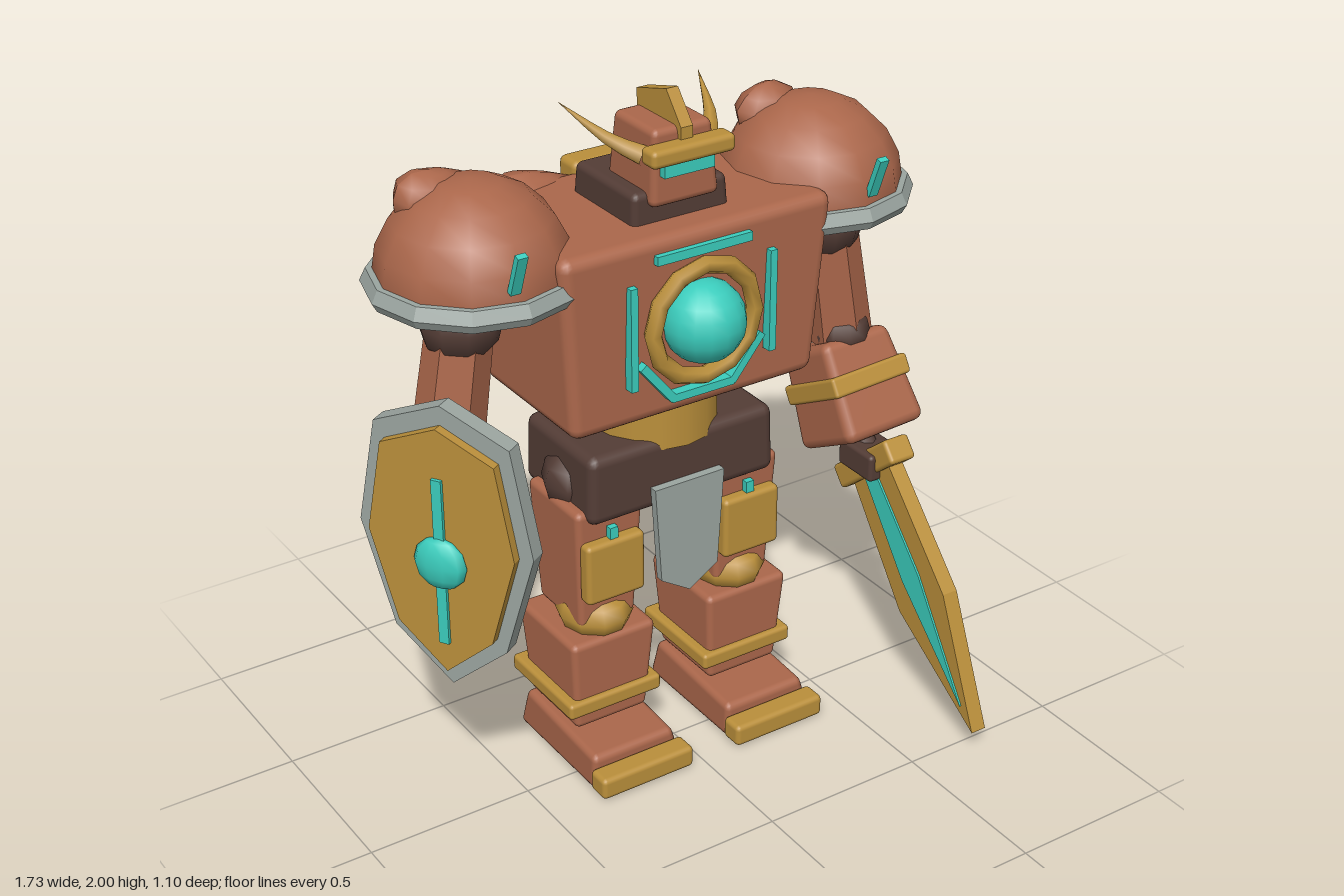
import * as THREE from 'three';
import { RoundedBoxGeometry } from 'three/addons/geometries/RoundedBoxGeometry.js';

const paint = (name, color, extra = {}) => {
  const m = new THREE.MeshStandardMaterial({ color, ...extra });
  m.name = name;
  return m;
};

export function createModel() {
  const clay = paint('clay armour', 0xab674b);
  const gold = paint('gold trim', 0xba8f3b);
  const dark = paint('dark joints', 0x543d36);
  const steel = paint('steel grey', 0x9ba5a0);
  const cyan = paint('cyan glow', 0x3bcdbd);

  const root = new THREE.Group();
  root.name = 'armouredRobot';
  const body = new THREE.Group();
  body.name = 'body';
  body.position.x = 0.035;
  root.add(body);

  const add = (name, geo, mat, x, y, z, parent = body) => {
    const m = new THREE.Mesh(geo, mat);
    m.name = name;
    m.position.set(x, y, z);
    parent.add(m);
    return m;
  };
  const group = (name, x, y, z) => {
    const g = new THREE.Group();
    g.name = name;
    g.position.set(x, y, z);
    body.add(g);
    return g;
  };
  // Rounded box whose top and bottom are scaled separately
  const block = (w, h, d, top = 1, bottom = 1, r = 0.02) => {
    const g = new RoundedBoxGeometry(w, h, d, 2, Math.min(r, h * 0.3, d * 0.3, w * 0.3));
    const p = g.attributes.position;
    for (let i = 0; i < p.count; i++) {
      const k = THREE.MathUtils.lerp(bottom, top, p.getY(i) / h + 0.5);
      p.setX(i, p.getX(i) * k);
      p.setZ(i, p.getZ(i) * k);
    }
    return g;
  };
  const box = (w, h, d) => new THREE.BoxGeometry(w, h, d);
  const ball = (rx, ry, rz, seg = 10, rows = 6) => new THREE.SphereGeometry(1, seg, rows).scale(rx, ry, rz);
  // Uneven lump: a sphere with waves in its radius
  const lump = (rx, ry, rz, phase) => {
    const g = new THREE.SphereGeometry(1, 10, 7);
    const p = g.attributes.position, v = new THREE.Vector3();
    for (let i = 0; i < p.count; i++) {
      v.fromBufferAttribute(p, i);
      v.multiplyScalar(1 + 0.1 * Math.sin(v.x * 4 + phase) * Math.cos(v.y * 3 + v.z * 2 + phase));
      p.setXYZ(i, v.x, v.y, v.z);
    }
    g.scale(rx, ry, rz).computeVertexNormals();
    return g;
  };
  // Flat plate from an outline, centred on its thickness
  const plate = (pts, t) => new THREE.ExtrudeGeometry(
    new THREE.Shape(pts.map(p => new THREE.Vector2(...p))), { depth: t, bevelEnabled: false }).translate(0, 0, -t / 2);

  // Torso, waist and pelvis
  add('torso', block(0.86, 0.54, 0.52, 1, 0.91, 0.035), clay, 0, 1.39, -0.175);
  add('waist', new THREE.CylinderGeometry(0.193, 0.193, 0.16, 16), gold, 0, 1.06, -0.175);
  add('pelvis', block(0.62, 0.21, 0.36, 0.98, 1, 0.03), dark, 0, 0.905, -0.175);
  add('loincloth', plate([[-0.115, 0.18], [-0.095, -0.12], [0, -0.18], [0.095, -0.12], [0.115, 0.18]], 0.025), steel, 0, 0.695, 0.018);

  // Chest core and glowing lines
  add('coreRing', new THREE.TorusGeometry(0.163, 0.026, 6, 12), gold, 0, 1.395, 0.095);
  add('core', ball(0.118, 0.118, 0.118, 16, 10), cyan, 0, 1.395, 0.09);
  add('chestLineTop', box(0.3, 0.026, 0.03), cyan, 0, 1.604, 0.085);
  for (const s of [-1, 1]) {
    add('chestLineSide', box(0.022, 0.3, 0.03), cyan, s * 0.222, 1.395, 0.085);
    add('chestLineSlant', box(0.024, 0.155, 0.03), cyan, s * 0.143, 1.245, 0.08).rotation.z = -s * 0.68;
  }
  add('chestLineBottom', box(0.2, 0.024, 0.03), cyan, 0, 1.187, 0.08);

  // Back column and lumps
  add('backColumn', block(0.185, 0.51, 0.09), gold, 0, 1.435, -0.448);
  add('backLight', box(0.03, 0.03, 0.03), cyan, 0.105, 1.62, -0.445);
  add('backLight', box(0.03, 0.03, 0.03), cyan, -0.105, 1.22, -0.445);
  add('backLumpUpper', lump(0.165, 0.13, 0.115, 0.5), clay, -0.215, 1.56, -0.435);
  add('backLumpLower', lump(0.13, 0.13, 0.11, 2), clay, 0.215, 1.34, -0.425);

  // Head
  add('collar', block(0.31, 0.13, 0.31, 0.95, 1), dark, 0, 1.68, -0.165);
  add('head', block(0.215, 0.21, 0.23, 0.85, 1), clay, 0, 1.81, -0.105);
  add('eyeVisor', box(0.157, 0.04, 0.04), cyan, 0, 1.812, 0.005);
  add('brow', block(0.26, 0.05, 0.065), gold, 0, 1.857, 0.018);
  const crest = add('crest', plate([[0.01, 1.86], [-0.2, 1.89], [-0.2, 1.96], [-0.06, 2.0], [0.01, 1.915]], 0.037), gold, 0, 0, 0);
  crest.rotation.y = -Math.PI / 2;
  for (const s of [-1, 1]) {
    // Tapered horn
    const path = new THREE.CatmullRomCurve3([[0.1, 1.84, -0.04], [0.155, 1.87, -0.11], [0.22, 1.94, -0.265]]
      .map(([x, y, z]) => new THREE.Vector3(s * x, y, z)));
    const horn = new THREE.TubeGeometry(path, 5, 0.03, 6);
    const p = horn.attributes.position, v = new THREE.Vector3();
    for (let i = 0; i < p.count; i++) {
      const u = Math.floor(i / 7) / 5;
      v.fromBufferAttribute(p, i).lerp(path.getPointAt(u), u * 0.98);
      p.setXYZ(i, v.x, v.y, v.z);
    }
    add('horn', horn, gold, 0, 0, 0);
  }

  for (const s of [-1, 1]) {
    // Shoulder guard
    const guard = group(s > 0 ? 'leftShoulder' : 'rightShoulder', s * 0.538, 1.575, -0.178);
    add('dome', new THREE.SphereGeometry(1, 12, 5, 0, Math.PI * 2, 0, Math.PI / 2).scale(0.265, 0.258, 0.265), clay, 0, 0, 0, guard);
    add('domeUnderside', new THREE.CircleGeometry(0.27, 12).rotateX(Math.PI / 2), clay, 0, -0.02, 0, guard);
    const rim = [[0.24, -0.045], [0.283, -0.045], [0.297, -0.02], [0.28, 0.015], [0.24, 0.015], [0.24, -0.045]];
    const rimGeo = new THREE.LatheGeometry(rim.map(q => new THREE.Vector2(...q)), 12).toNonIndexed();
    rimGeo.computeVertexNormals();
    add('rim', rimGeo, steel, 0, 0, 0, guard);
    add('shoulderLight', box(0.03, 0.125, 0.018), cyan, s * 0.025, 0.1, 0.275, guard).rotation.x = 0.36;

    // Arm
    add('shoulderJoint', ball(0.115, 0.115, 0.115), dark, s * 0.59, 1.45, -0.17);
    const upper = add('upperArm', new THREE.CylinderGeometry(0.09, 0.1, 0.38, 6).toNonIndexed(), clay, s * 0.622, 1.26, -0.165);
    upper.geometry.computeVertexNormals();
    upper.rotation.z = s * 0.16;
    add('elbow', ball(0.085, 0.085, 0.085), dark, s * 0.645, 1.09, -0.14);
    const fore = group(s > 0 ? 'leftForearm' : 'rightForearm', s * 0.655, 0.92, -0.105);
    fore.rotation.set(-0.5, 0, s * 0.04);
    add('forearm', block(0.27, 0.3, 0.26, 0.88, 1.06, 0.03), clay, 0, 0, 0, fore);
    add('wristBand', block(0.275, 0.06, 0.265, 1, 1, 0.01), gold, 0, 0.02, 0, fore);

    // Leg
    const leg = group(s > 0 ? 'leftLeg' : 'rightLeg', s * 0.23, 0, 0);
    add('hipJoint', ball(0.1, 0.1, 0.1, 8, 6), dark, s * 0.02, 0.87, -0.17, leg);
    add('thigh', block(0.22, 0.39, 0.27, 1, 0.83), clay, 0, 0.645, -0.155, leg);
    add('thighPlate', block(0.19, 0.19, 0.05, 1, 1, 0.015), gold, 0, 0.65, -0.015, leg);
    add('thighLight', box(0.026, 0.06, 0.02), cyan, 0, 0.75, -0.013, leg);
    add('knee', ball(0.11, 0.08, 0.122, 10, 6), gold, 0, 0.46, -0.12, leg);
    add('shin', block(0.28, 0.3, 0.31, 1, 0.85), clay, 0, 0.275, -0.16, leg);
    add('shinBand', block(0.308, 0.05, 0.33, 1, 1, 0.012), gold, 0, 0.207, -0.168, leg);
    add('ankle', ball(0.1, 0.06, 0.12), dark, 0, 0.125, -0.165, leg);
    const foot = block(0.3, 0.12, 0.42, 0.9, 1);
    const fp = foot.attributes.position;
    for (let i = 0; i < fp.count; i++) {
      if (fp.getY(i) > 0 && fp.getZ(i) > 0) fp.setY(i, fp.getY(i) - fp.getZ(i) * 0.12);
    }
    add('foot', foot, clay, 0, 0.065, -0.1, leg);
    add('toeCap', block(0.308, 0.068, 0.075, 1, 1, 0.015), gold, 0, 0.044, 0.133, leg);
  }
  // Lumps on top of the shoulder guards
  add('shoulderLump', lump(0.11, 0.085, 0.095, 1), clay, -0.605, 1.758, -0.27);
  add('shoulderLump', lump(0.1, 0.085, 0.085, 2.4), clay, 0.475, 1.76, -0.29);

  // Shield, facing outwards and forwards
  const shield = group('shield', -0.742, 0.905, 0.007);
  shield.rotation.y = -1.024;
  const outline = [[0, -0.425], [0.17, -0.28], [0.26, 0.03], [0.2, 0.34], [0, 0.425], [-0.2, 0.34], [-0.26, 0.03], [-0.17, -0.28]];
  add('shieldBack', plate(outline, 0.05), steel, 0, 0, 0, shield);
  add('shieldFace', plate(outline.map(([x, y]) => [x * 0.84, y * 0.87]), 0.03), gold, 0, 0, 0.037, shield);
  add('shieldStripe', box(0.03, 0.5, 0.012), cyan, 0, -0.025, 0.056, shield);
  add('shieldBoss', ball(0.08, 0.077, 0.035, 10, 6), cyan, 0, -0.025, 0.058, shield);

  // Sword: local -y runs along the blade, local x becomes forward
  const sword = group('sword', 0.668, 0.715, 0.01);
  sword.rotation.set(-0.694, -Math.PI / 2, 0, 'XYZ');
  add('blade', plate([[-0.1, 0], [-0.126, -0.44], [0, -0.845], [0.122, -0.44], [0.1, 0]], 0.05), gold, 0, 0, 0, sword);
  add('bladeGlow', plate([[-0.03, -0.03], [-0.045, -0.36], [0, -0.76], [0.045, -0.36], [0.03, -0.03]], 0.062), cyan, 0, 0, 0, sword);
  add('swordGuard', block(0.305, 0.075, 0.09, 1, 1, 0.012), gold, 0, 0, 0, sword);
  add('grip', new THREE.CylinderGeometry(0.03, 0.03, 0.2, 8), dark, 0, 0.1, 0, sword);
  add('swordHand', block(0.12, 0.085, 0.155, 1, 1, 0.012), dark, 0.665, 0.73, -0.005);

  return root;
}
